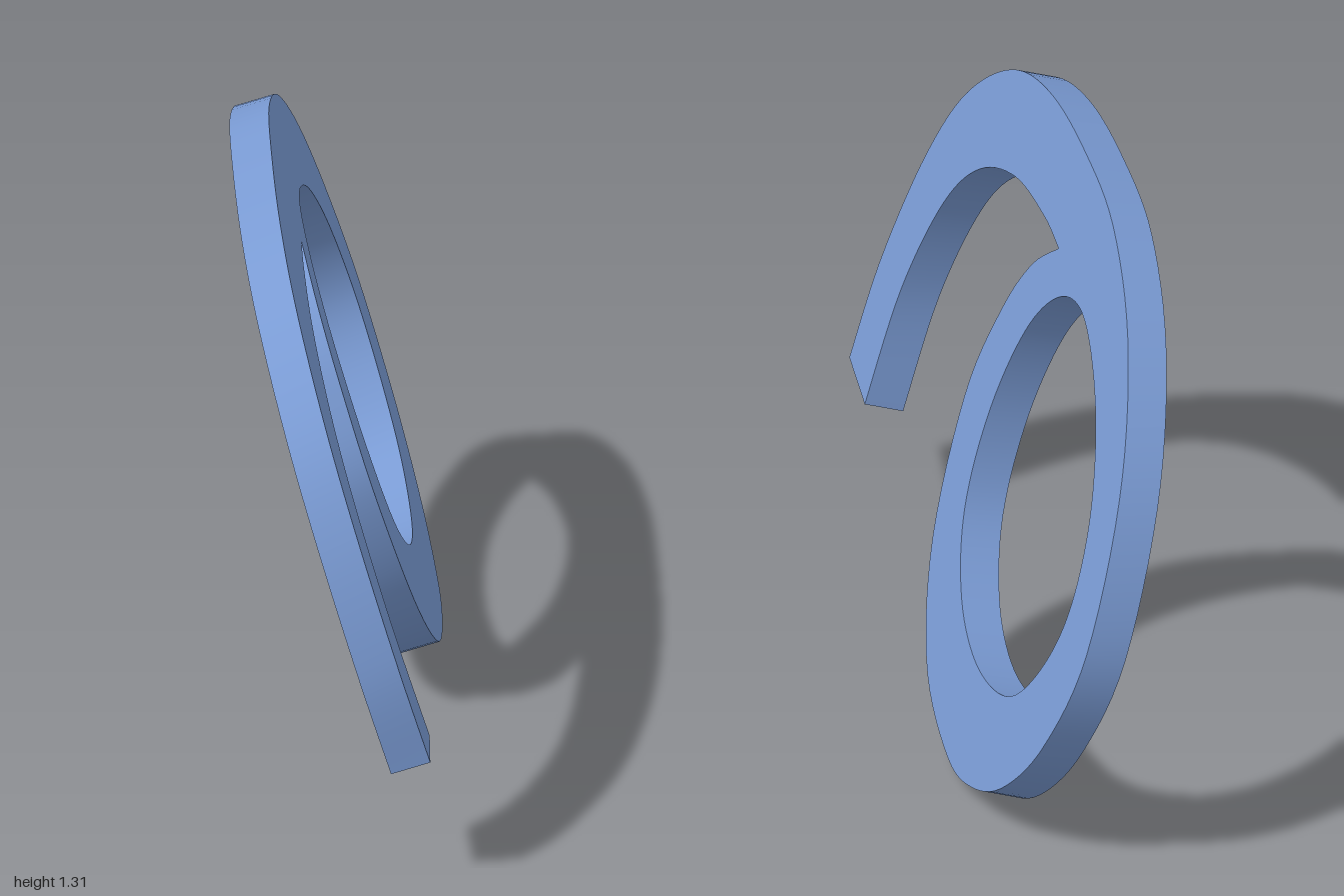
import * as THREE from 'three';
import { toCreasedNormals } from 'three/addons/utils/BufferGeometryUtils.js';

const vectors = (list) => list.map(([z, y]) => new THREE.Vector2(-z, y));

// Outer edge: from the arm's tip, over the top and around the ring to the notch
const outer = [
  [0.95, 0.305], [0.975, 0.54], [0.935, 0.82], [0.83, 1.035], [0.62, 1.205], [0.36, 1.285],
  [0.04, 1.305], [-0.28, 1.28], [-0.6, 1.155], [-0.86, 0.92], [-1, 0.59], [-0.945, 0.33],
  [-0.8, 0.15], [-0.62, 0.055], [-0.42, 0.027], [-0.12, 0.095], [0.11, 0.295],
  [0.222, 0.6], [0.19, 0.83], [0.11, 0.985], [-0.008, 1.087],
];
// Underside of the arm: from the notch back to the tip
const underside = [
  [0.145, 1.09], [0.385, 1.06], [0.6, 0.965], [0.735, 0.81], [0.798, 0.56], [0.767, 0.284],
];
// Opening of the ring
const opening = [
  [-0.27, 1.065], [-0.12, 1.025], [0, 0.895], [0.05, 0.66], [-0.01, 0.435], [-0.18, 0.295],
  [-0.42, 0.246], [-0.66, 0.305], [-0.78, 0.45], [-0.812, 0.6], [-0.74, 0.79], [-0.54, 0.97],
];

export function createModel() {
  const group = new THREE.Group();
  group.name = 'curledBand';

  const shape = new THREE.Shape();
  const [tip, ...rest] = vectors(outer);
  shape.moveTo(tip.x, tip.y).splineThru(rest).splineThru(vectors(underside));
  shape.closePath();

  const loop = new THREE.CatmullRomCurve3(
    vectors(opening).map((p) => new THREE.Vector3(p.x, p.y, 0)), true, 'centripetal');
  shape.holes.push(new THREE.Path(loop.getPoints(96).map((p) => new THREE.Vector2(p.x, p.y))));

  let band = new THREE.ExtrudeGeometry(shape, { depth: 1, bevelEnabled: false, curveSegments: 6 });

  // Lean the flat profile onto the plane x = a*y + b*z + c; thickness follows its normal
  const a = -0.32, b = 0.295, c = 0.222;
  const thick = new THREE.Vector3(1, -a, -b).setLength(0.091);
  const lean = new THREE.Matrix4().makeBasis(
    new THREE.Vector3(-b, 0, -1), new THREE.Vector3(a, 1, 0), thick);
  lean.setPosition(c - thick.x, -thick.y, -thick.z);
  band.applyMatrix4(lean);
  band = toCreasedNormals(band, 0.5);

  const mesh = new THREE.Mesh(band, new THREE.MeshStandardMaterial({ color: 0x7a9bd4 }));
  mesh.name = 'ringWithArm';
  group.add(mesh);
  return group;
}
